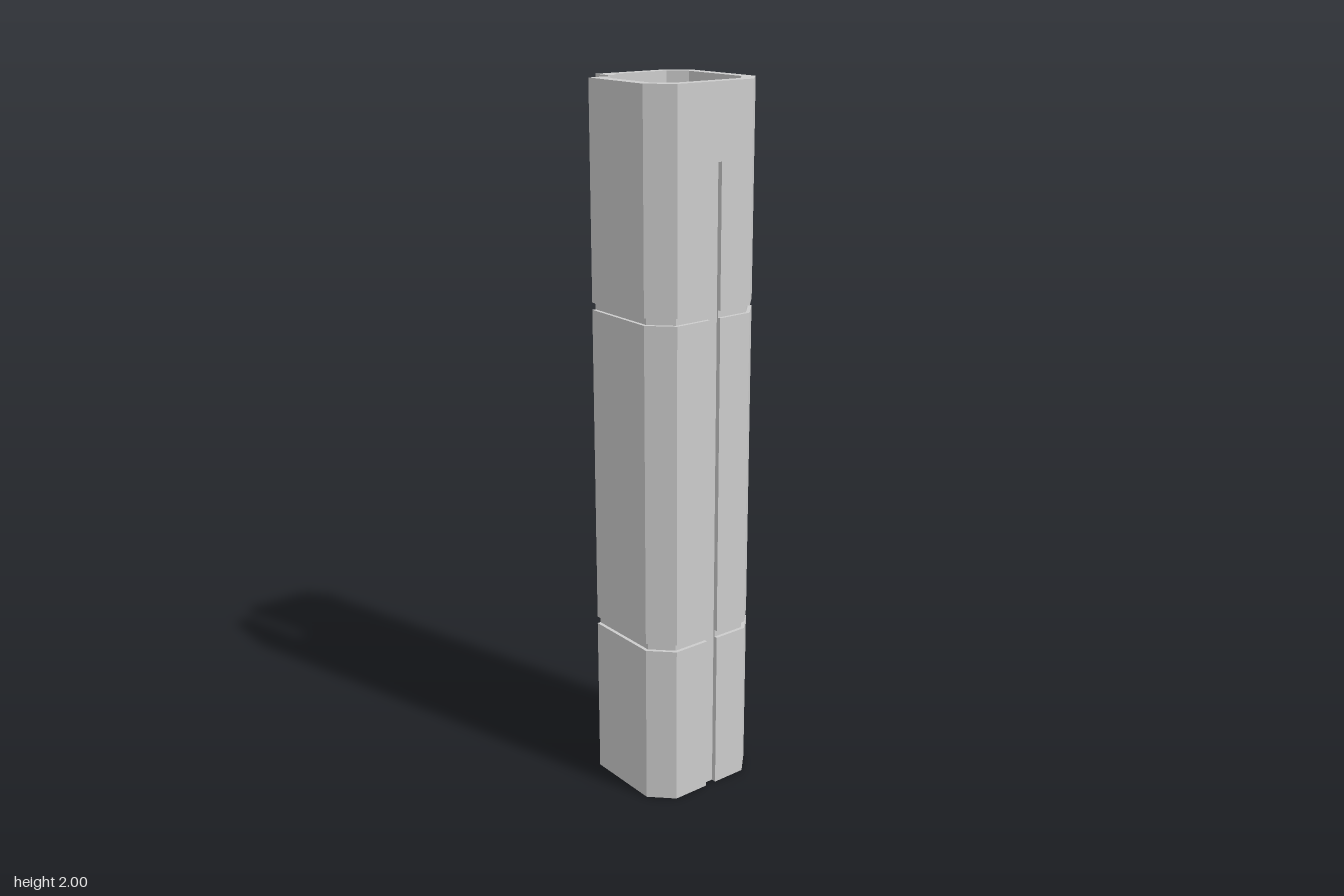
import * as THREE from 'three';

// Open C-shaped outline as [x, z] points; groove insets the outer skin,
// slot is the depth of the channels on the front and the +x side.
function outline(groove, slot) {
  const g = groove, k = 0.414 * g, s = Math.max(g, slot);
  const a = -0.015, b = 0.02; // channel edges
  return [
    // outer skin
    [-0.104, -0.186 + g], [0.123 - k, -0.186 + g], [0.184 - g, -0.125 + k],
    [0.184 - g, a], [0.184 - s, a], [0.184 - s, b], [0.184 - g, b],
    [0.184 - g, 0.123 - k], [0.123 - k, 0.184 - g],
    [b, 0.184 - g], [b, 0.184 - s], [a, 0.184 - s], [a, 0.184 - g],
    [-0.125 + k, 0.184 - g], [-0.186 + g, 0.123 - k], [-0.186 + g, -0.104],
    // lip on the -x wall, inner skin, lip on the back wall
    [-0.130, -0.104], [-0.130, -0.073], [-0.152, -0.073],
    [-0.152, 0.107], [-0.108, 0.150], [0.107, 0.150], [0.150, 0.107],
    [0.150, -0.108], [0.107, -0.152], [-0.073, -0.152],
    [-0.073, -0.130], [-0.104, -0.130],
  ];
}

// Loft through the rings, then close both ends
function loft(rings) {
  const pos = [];
  const tri = (...pts) => {
    const [p, q, r] = pts.map(v => new THREE.Vector3(...v));
    if (q.sub(p).cross(r.sub(p)).length() > 1e-9) pts.forEach(v => pos.push(...v));
  };
  const at = ([x, z], y) => [x, y, z];
  for (let j = 0; j < rings.length - 1; j++) {
    const lo = rings[j], hi = rings[j + 1], n = lo.pts.length;
    for (let i = 0; i < n; i++) {
      const m = (i + 1) % n;
      const a = at(lo.pts[i], lo.y), b = at(lo.pts[m], lo.y);
      const c = at(hi.pts[m], hi.y), d = at(hi.pts[i], hi.y);
      tri(a, c, b);
      tri(a, d, c);
    }
  }
  const cap = (ring, up) => {
    const pts = ring.pts.map(p => new THREE.Vector2(...p));
    for (const [i, j, k] of THREE.ShapeUtils.triangulateShape(pts, [])) {
      const facesUp = THREE.ShapeUtils.area([pts[i], pts[j], pts[k]]) < 0;
      const order = facesUp === up ? [i, j, k] : [i, k, j];
      tri(...order.map(v => at(ring.pts[v], ring.y)));
    }
  };
  cap(rings[0], false);
  cap(rings[rings.length - 1], true);
  const geo = new THREE.BufferGeometry();
  geo.setAttribute('position', new THREE.Float32BufferAttribute(pos, 3));
  geo.computeVertexNormals();
  return geo;
}

export function createModel() {
  const group = new THREE.Group();
  group.name = 'slottedPost';
  const grey = new THREE.MeshStandardMaterial({ color: 0xcccccc });
  grey.name = 'light grey';

  const groove = 0.01, slot = 0.014;
  // [bottom, top, groove depth, channel depth] of each level
  const levels = [
    [0, 0.465, 0, slot],
    [0.465, 0.486, groove, slot],
    [0.486, 1.392, 0, slot],
    [1.392, 1.412, groove, slot],
    [1.412, 1.8, 0, slot],
    [1.8, 2, 0, 0],
  ];
  const rings = levels.flatMap(([y0, y1, g, s]) => {
    const pts = outline(g, s);
    return [{ y: y0, pts }, { y: y1, pts }];
  });

  const post = new THREE.Mesh(loft(rings), grey);
  post.name = 'post';
  group.add(post);
  return group;
}
